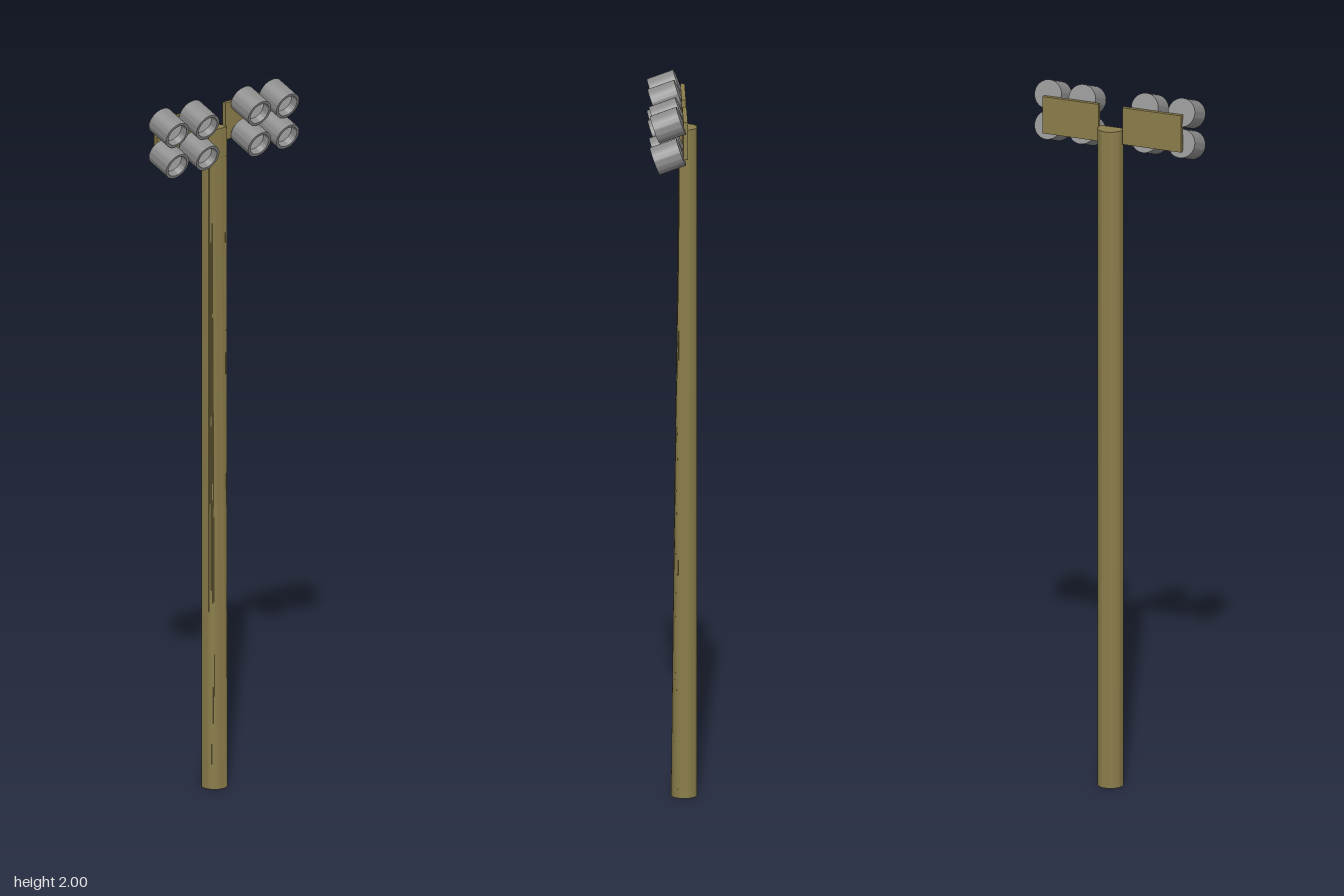
import * as THREE from 'three';
import { toCreasedNormals } from 'three/addons/utils/BufferGeometryUtils.js';

const poleMat = new THREE.MeshStandardMaterial({ color: 0x8a7c4a });
const housingMat = new THREE.MeshStandardMaterial({ color: 0x8c8c8c });
const lensMat = new THREE.MeshStandardMaterial({ color: 0xcccccc });

function add(parent, name, geometry, material, x = 0, y = 0, z = 0) {
  const mesh = new THREE.Mesh(geometry, material);
  mesh.name = name;
  mesh.position.set(x, y, z);
  parent.add(mesh);
  return mesh;
}

// Round pole whose front flattens towards the top
function poleGeometry(radius, height) {
  const g = new THREE.CylinderGeometry(radius, radius, height, 48);
  const p = g.attributes.position;
  for (let i = 0; i < p.count; i++) {
    if (p.getY(i) > 0) p.setZ(i, Math.min(p.getZ(i), 0.014));
  }
  return toCreasedNormals(g, 0.6);
}

// Lamp housing: closed back, rim and recessed mouth, opening along +y
const R = 0.04, HALF = 0.0385, RECESS = 0.02;
const housingGeo = toCreasedNormals(new THREE.LatheGeometry([
  [0, -HALF], [R, -HALF], [R, HALF], [0.032, HALF], [0.029, HALF - RECESS],
].map(([r, y]) => new THREE.Vector2(r, y)), 40), 0.6);
const lensGeo = new THREE.CircleGeometry(0.029, 40).rotateX(-Math.PI / 2);

function makeLamp(x, y) {
  const lamp = new THREE.Group();
  lamp.name = 'floodlight';
  add(lamp, 'lampHousing', housingGeo, housingMat);
  add(lamp, 'lampLens', lensGeo, lensMat, 0, HALF - RECESS, 0);
  lamp.position.set(x, y, 0.016);
  // faces forward, tilted 20 degrees down
  lamp.rotation.x = THREE.MathUtils.degToRad(90 + 20);
  return lamp;
}

export function createModel() {
  const model = new THREE.Group();
  model.name = 'floodlightPole';

  add(model, 'pole', poleGeometry(0.036, 1.895), poleMat, 0.007, 0.9475, -0.032);

  // Mounting boards on either side of the pole top
  for (const [name, x0, x1] of [['rightBoard', -0.207, -0.031], ['leftBoard', 0.041, 0.209]]) {
    add(model, name, new THREE.BoxGeometry(x1 - x0, 0.106, 0.012), poleMat, (x0 + x1) / 2, 1.908, -0.032);
  }

  // Two rows of four lamps
  for (const y of [1.951, 1.862]) {
    for (const x of [-0.2, -0.09, 0.098, 0.2]) model.add(makeLamp(x, y));
  }
  return model;
}
